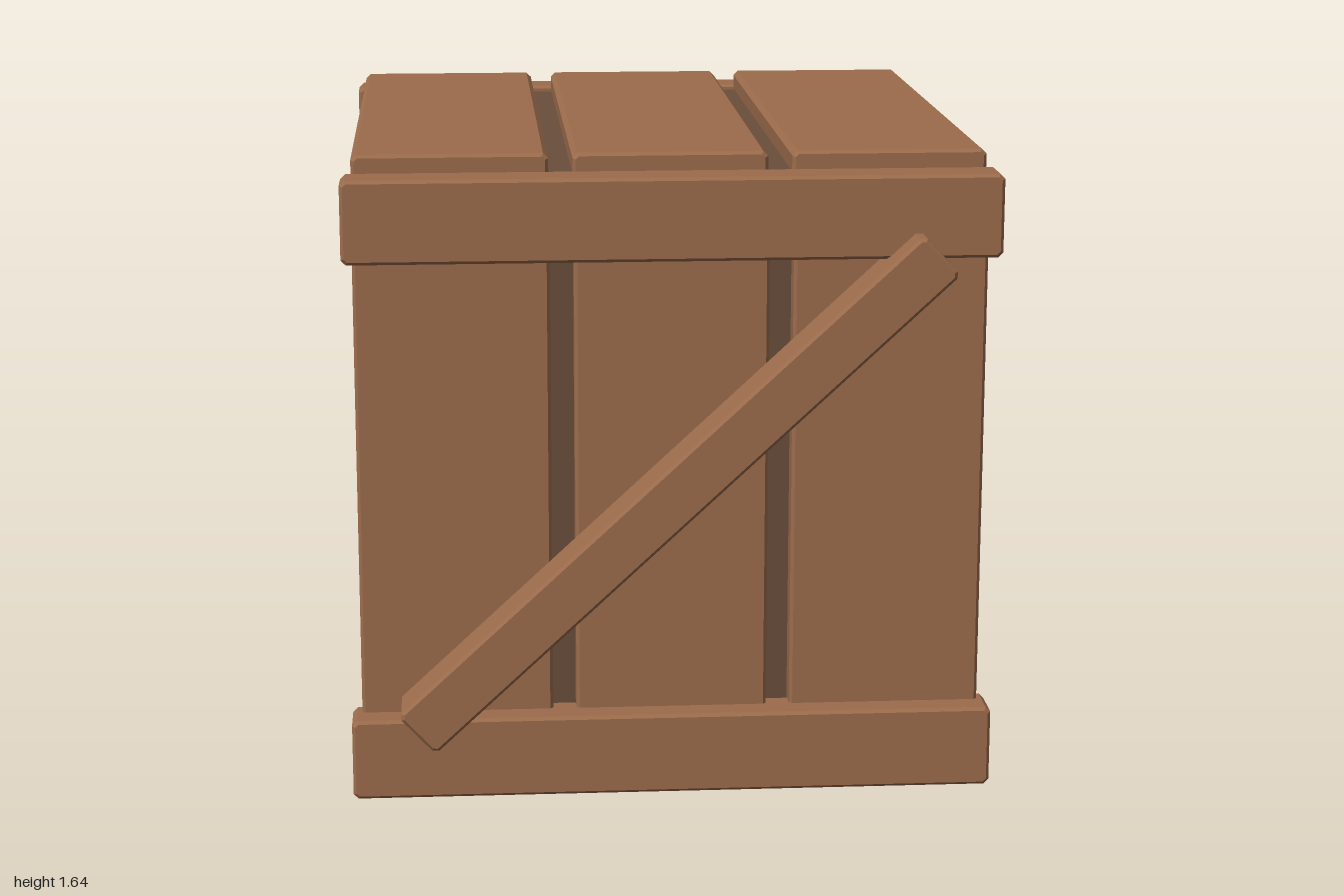
import * as THREE from 'three';

const wood = new THREE.MeshStandardMaterial({ color: 0x9c6c4c, flatShading: true });
const darkWood = new THREE.MeshStandardMaterial({ color: 0x694e3c, flatShading: true });

// A centred board whose edges are all chamfered
function board(name, w, h, d, material = wood, c = 0.008) {
  const x = w / 2 - c, y = h / 2 - c;
  const shape = new THREE.Shape();
  shape.moveTo(-x + c, -y);
  shape.lineTo(x - c, -y);
  shape.lineTo(x, -y + c);
  shape.lineTo(x, y - c);
  shape.lineTo(x - c, y);
  shape.lineTo(-x + c, y);
  shape.lineTo(-x, y - c);
  shape.lineTo(-x, -y + c);
  shape.closePath();
  const geometry = new THREE.ExtrudeGeometry(shape, {
    depth: d - 2 * c, bevelEnabled: true, bevelThickness: c, bevelSize: c, bevelSegments: 1,
  });
  geometry.translate(0, 0, c - d / 2);
  const mesh = new THREE.Mesh(geometry, material);
  mesh.name = name;
  return mesh;
}

// Planks, rails and diagonal brace of one end
function createEnd(name, sign) {
  const end = new THREE.Group();
  end.name = name;
  const add = (mesh, x, y, z) => {
    mesh.position.set(x, y, sign * z);
    end.add(mesh);
    return mesh;
  };
  for (const x of [-0.55, 0, 0.55]) add(board('uprightPlank', 0.49, 1.57, 0.07), x, 0.802, 0.815);
  add(board('bottomRail', 1.64, 0.21, 0.12), 0, 0.108, 0.86);
  add(board('topRail', 1.64, 0.21, 0.12), 0, 1.497, 0.86);
  const brace = add(board('diagonalBrace', 1.787, 0.138, 0.145), 0, 0.807, 0.9275);
  brace.rotation.z = Math.atan2(1.215, 1.31);
  return end;
}

export function createModel() {
  const crate = new THREE.Group();
  crate.name = 'crate';

  // Dark inner box
  const box = new THREE.Mesh(new THREE.BoxGeometry(1.58, 1.575, 1.57), darkWood);
  box.name = 'innerBox';
  box.position.y = 0.8;
  crate.add(box);

  // Lid planks
  for (const x of [-0.55, 0, 0.55]) {
    const plank = board('lidPlank', 0.49, 0.065, 1.58);
    plank.position.set(x, 1.6125, 0);
    crate.add(plank);
  }

  crate.add(createEnd('frontEnd', 1), createEnd('backEnd', -1));
  return crate;
}
